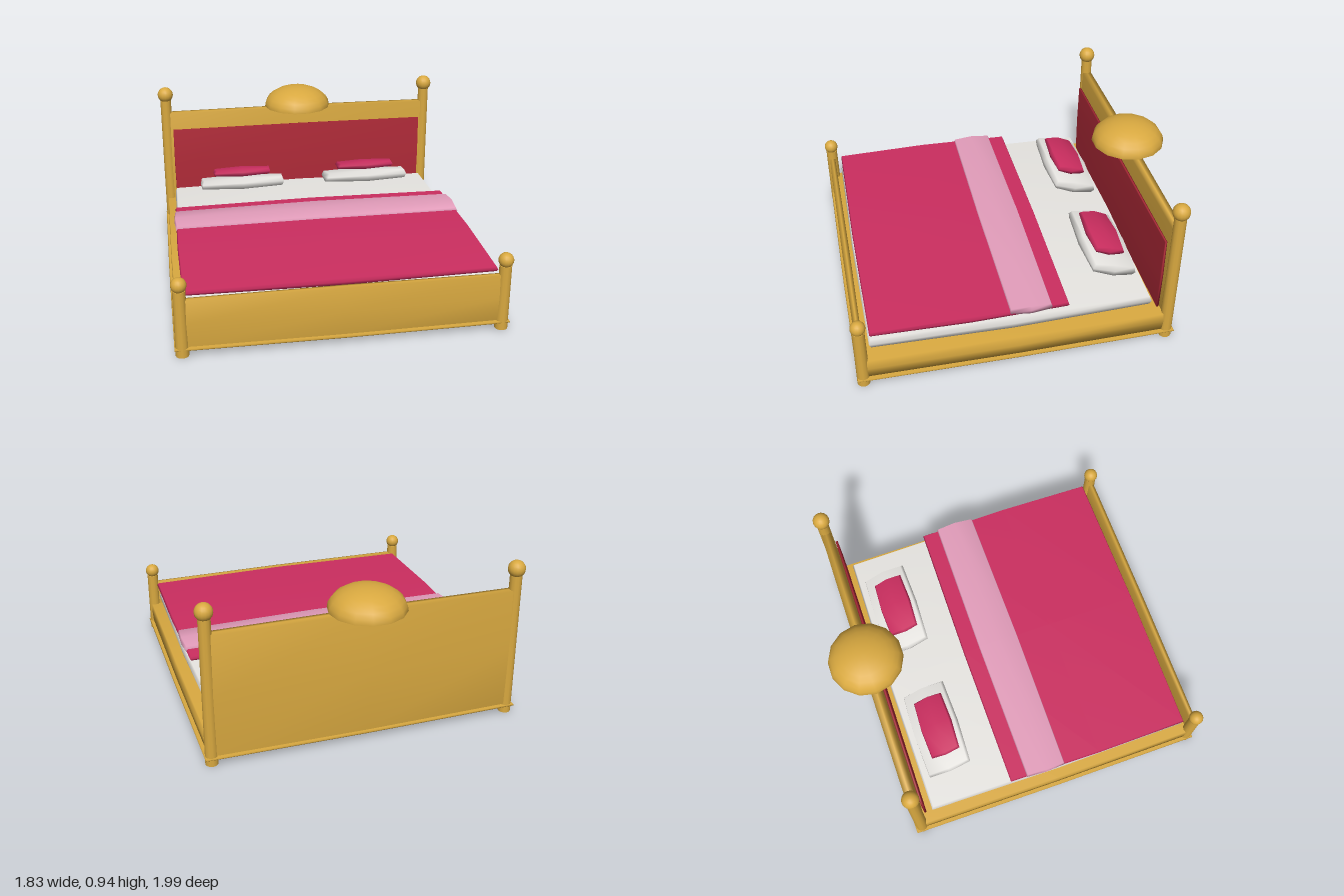
import * as THREE from 'three';
import { mergeVertices } from 'three/addons/utils/BufferGeometryUtils.js';

const mat = (color) => new THREE.MeshStandardMaterial({ color });

// Smooth-shaded box between two corners, with edges and corners drawn in by "soft"
function softBox(w, h, d, soft) {
  const geo = new THREE.BoxGeometry(w, h, d, 2, 2, 2);
  geo.deleteAttribute('normal');
  geo.deleteAttribute('uv');
  const half = [w / 2, h / 2, d / 2];
  const p = geo.attributes.position;
  for (let i = 0; i < p.count; i++) {
    const v = [p.getX(i), p.getY(i), p.getZ(i)];
    const outer = v.map((c, a) => Math.abs(c) > half[a] * 0.9);
    const others = outer.filter(Boolean).length - 1;
    const q = v.map((c, a) => (outer[a] ? c - Math.sign(c) * Math.min(soft, half[a] * 0.5) * others / 2 : c));
    p.setXYZ(i, ...q);
  }
  const merged = mergeVertices(geo);
  merged.computeVertexNormals();
  return merged;
}

export function createModel() {
  const bed = new THREE.Group();
  bed.name = 'bed';
  const wood = mat(0xd9a940);
  const red = mat(0xb02a38);
  const magenta = mat(0xcc2e60);
  const pink = mat(0xe39dbb);
  const white = mat(0xe8e6e2);

  const add = (name, geo, material, x, y, z) => {
    const mesh = new THREE.Mesh(geo, material);
    mesh.name = name;
    mesh.position.set(x, y, z);
    bed.add(mesh);
    return mesh;
  };
  // Slab centred on x = 0, given by its half width and its y and z limits
  const slab = (name, material, hx, y0, y1, z0, z1, soft) =>
    add(name, softBox(hx * 2, y1 - y0, z1 - z0, soft), material, 0, (y0 + y1) / 2, (z0 + z1) / 2);

  // Wooden frame
  slab('basePlinth', wood, 0.91, 0.035, 0.056, -0.83, 0.993, 0.008);
  slab('bedBase', wood, 0.893, 0.05, 0.182, -0.79, 0.955, 0.008);
  slab('headboard', wood, 0.85, 0.05, 0.775, -0.82, -0.748, 0.008);
  slab('footboard', wood, 0.86, 0.05, 0.332, 0.933, 0.978, 0.006);
  slab('headboardPanel', red, 0.83, 0.18, 0.665, -0.75, -0.728, 0.004);

  // Corner posts with ball finials
  for (const side of [-1, 1]) {
    for (const [name, z, height, ball, ballY] of [
      ['head', -0.785, 0.86, 0.049, 0.89],
      ['foot', 0.955, 0.38, 0.042, 0.41],
    ]) {
      const x = side * 0.866;
      add(name + 'Post', new THREE.CylinderGeometry(0.034, 0.036, height, 12), wood, x, height / 2, z);
      add(name + 'Finial', new THREE.SphereGeometry(ball, 16, 12), wood, x, ballY, z);
    }
  }

  // Flattened dome crowning the headboard, closed underneath
  const dome = add('crownDome', new THREE.SphereGeometry(0.215, 14, 7, 0, Math.PI * 2, 0, Math.PI / 2), wood, 0, 0.78, -0.785);
  dome.scale.y = 0.6;
  const underside = add('crownUnderside', new THREE.CircleGeometry(0.215, 14), wood, 0, 0.78, -0.785);
  underside.rotation.x = Math.PI / 2;

  // Bedding
  slab('mattress', white, 0.847, 0.196, 0.292, -0.705, 0.915, 0.02);
  slab('duvet', magenta, 0.855, 0.3, 0.352, -0.213, 0.905, 0.014);
  slab('duvetFold', pink, 0.862, 0.306, 0.37, -0.115, 0.137, 0.014);

  // Pillows and cushions, tilted with the front edge raised
  for (const side of [-1, 1]) {
    const pillow = add('pillow', softBox(0.54, 0.092, 0.285, 0.02), white, side * 0.405, 0.356, -0.523);
    pillow.rotation.x = -0.29;
    const cushion = add('cushion', softBox(0.37, 0.066, 0.195, 0.018), magenta, side * 0.405, 0.43, -0.518);
    cushion.rotation.x = -0.27;
  }

  return bed;
}
